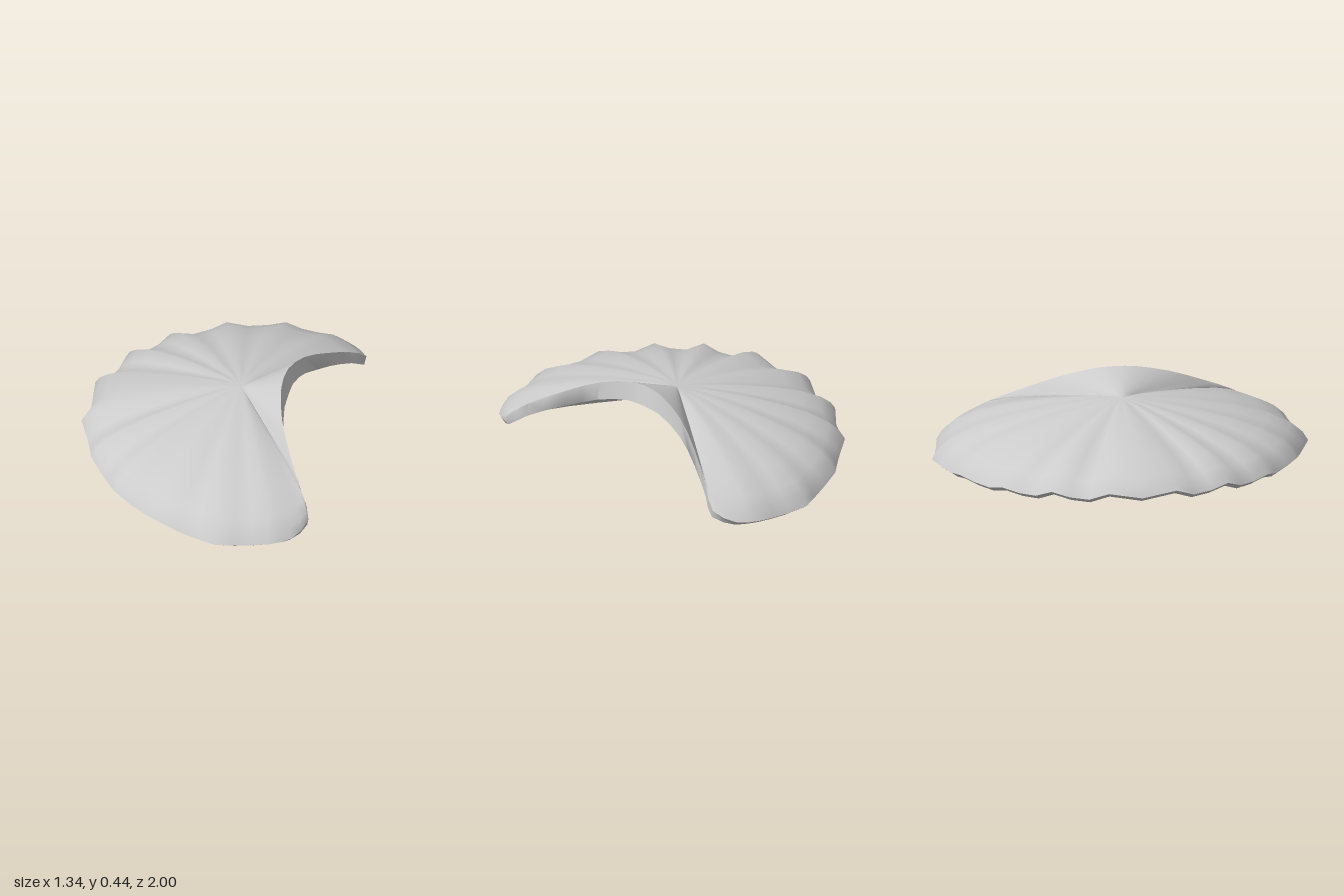
import * as THREE from 'three';
import { toCreasedNormals } from 'three/addons/utils/BufferGeometryUtils.js';

const { lerp, smoothstep } = THREE.MathUtils;
const V = (x, y, z) => new THREE.Vector3(x, y, z);

const HUB = V(0.15, 0.36, 0);
const HUB_THICK = 0.055;

// Scalloped edge: middle of the back, then the pleat crests towards the front
const CRESTS = [
  V(-0.655, 0.105, 0), V(-0.67, 0.145, 0.18), V(-0.56, 0.13, 0.47), V(-0.39, 0.1, 0.705),
  V(-0.12, 0.075, 0.895), V(0.21, 0.04, 1), V(0.5, 0.04, 0.935),
];

// Rounded corner and raised lip, ending at the middle of the lip
const LIP = new THREE.CatmullRomCurve3([
  V(0.5, 0.04, 0.935), V(0.6, 0.045, 0.87), V(0.668, 0.1, 0.755), V(0.61, 0.19, 0.65),
  V(0.51, 0.297, 0.47), V(0.43, 0.385, 0.29), V(0.386, 0.44, 0.1), V(0.38, 0.447, 0),
]);
const LIP_SEGMENTS = 14;

// Radial steps out from the hub, and how far the dome has dropped at each
const STEPS = [[0.15, 0.02], [0.4, 0.14], [0.6, 0.28], [0.79, 0.47], [0.91, 0.67], [0.97, 0.84], [1, 1]];

// Half of the outline; u is 0 along the scalloped edge and grows to 1 along the lip
function halfOutline() {
  const edge = [];
  CRESTS.slice(0, -1).forEach((crest, i) => {
    edge.push({ p: crest, pleat: i ? 0 : 0.02, u: 0 });
    if (i === 0) return;
    // A valley with a steep and a gentle side between neighbouring crests
    const depth = lerp(0.042, 0.012, (i - 1) / 4);
    for (const [t, share] of [[0.36, 1], [0.7, 0.75]]) {
      const p = crest.clone().lerp(CRESTS[i + 1], t);
      p.y -= depth * share;
      p.x *= 1 - depth * share * 0.5;
      p.z *= 1 - depth * share * 0.5;
      edge.push({ p, pleat: depth * share * 0.9, u: 0 });
    }
  });
  const lip = LIP.getPoints(LIP_SEGMENTS).map((p, i) => ({ p, pleat: 0, u: i / LIP_SEGMENTS }));
  return [...edge, ...lip];
}

// One radial section: out along the top, round the edge, back along the underside
function section({ p, pleat, u }) {
  const blend = smoothstep(u, 0.05, 0.75);
  const thick = lerp(0.025, 0.105, blend);
  const scale = lerp(0.965, 1.03, blend) + 0.08 * smoothstep(u, 0.6, 1);
  const at = (t, drop, s, under) => [
    lerp(HUB.x, p.x, t * s),
    lerp(HUB.y, p.y, lerp(drop, t, blend)) - pleat * 4 * t * t * (1 - t) - under,
    p.z * t * s,
  ];
  const top = STEPS.map(([t, d]) => at(t, d, 1, 0));
  const bottom = STEPS.map(([t, d]) => at(t, d, scale, lerp(HUB_THICK, thick, t))).reverse();
  return [...top, ...bottom];
}

// Join the sections into a closed shell, with one hub point above and one below
function shellGeometry() {
  const half = halfOutline();
  const mirrored = half.slice(1, -1).reverse().map((o) => ({ ...o, p: V(o.p.x, o.p.y, -o.p.z) }));
  const sections = [...half, ...mirrored].map(section);
  const n = sections.length;
  const rows = sections[0].length;
  const points = [...sections.flat(), [HUB.x, HUB.y, 0], [HUB.x, HUB.y - HUB_THICK, 0]];
  const topHub = n * rows;
  const index = [];
  for (let i = 0; i < n; i++) {
    const a = i * rows;
    const b = ((i + 1) % n) * rows;
    index.push(topHub, a, b);
    for (let j = 0; j < rows - 1; j++) {
      index.push(a + j, a + j + 1, b + j + 1, a + j, b + j + 1, b + j);
    }
    index.push(topHub + 1, b + rows - 1, a + rows - 1);
  }
  const geometry = new THREE.BufferGeometry();
  geometry.setAttribute('position', new THREE.Float32BufferAttribute(points.flat(), 3));
  geometry.setIndex(index);
  geometry.computeBoundingBox();
  geometry.translate(0, -geometry.boundingBox.min.y, 0);
  return toCreasedNormals(geometry, Math.PI / 3);
}

export function createModel() {
  const group = new THREE.Group();
  group.name = 'pleatedShell';
  const shell = new THREE.Mesh(shellGeometry(), new THREE.MeshStandardMaterial({ color: 0xcccccc }));
  shell.name = 'fanShell';
  group.add(shell);
  return group;
}
